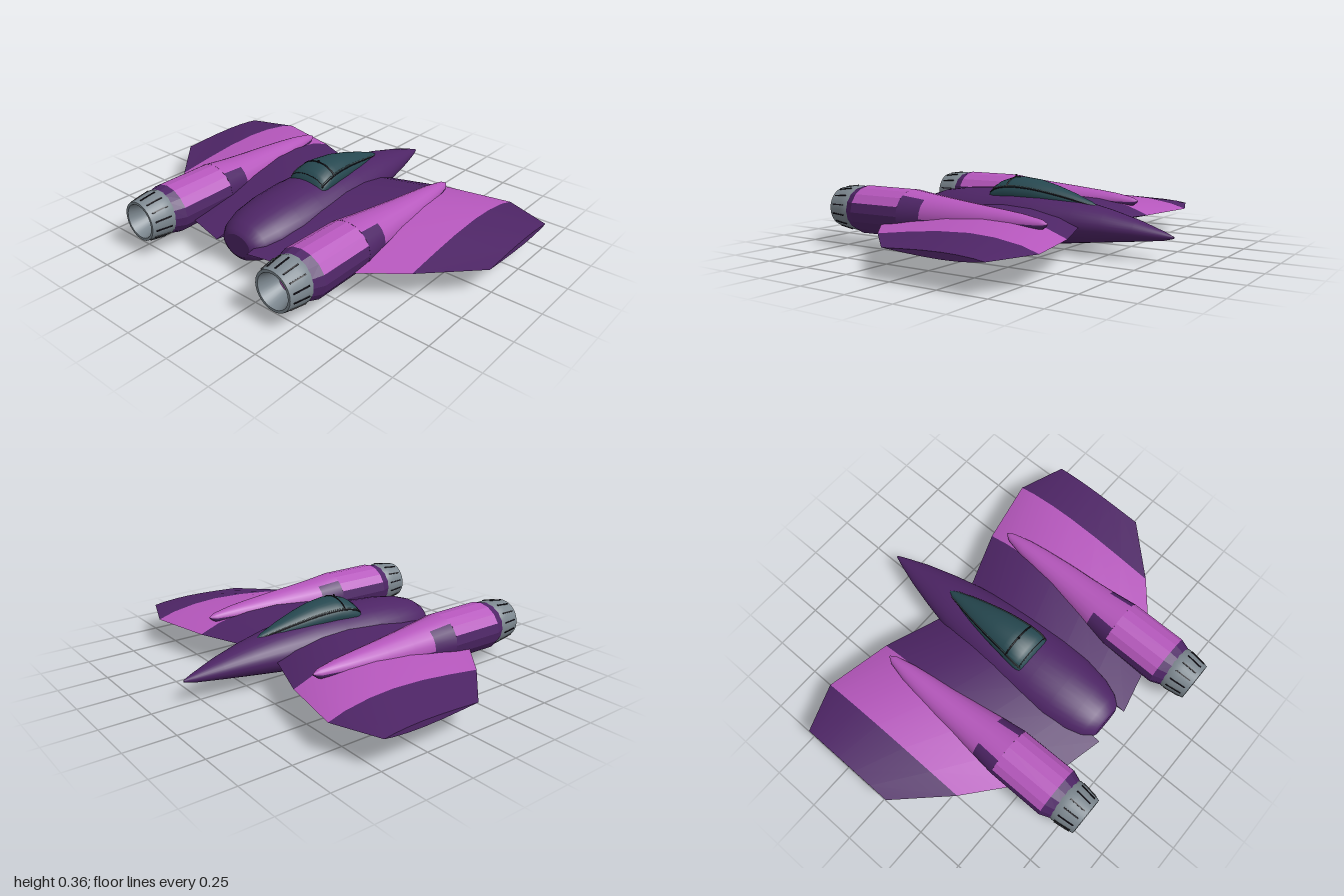
import * as THREE from 'three';
import { toCreasedNormals } from 'three/addons/utils/BufferGeometryUtils.js';

const paint = (name, color) => Object.assign(new THREE.MeshStandardMaterial({ color }), { name });

// Skin a list of point loops; pick(row, i) chooses the material slot of each quad.
function loft(rows, { flip = false, crease = 0, pick = () => 0 } = {}) {
  const n = rows[0].length, pos = rows.flat(2), slots = [[], [], []];
  const tri = (slot, a, b, c) => slots[slot].push(...(flip ? [a, c, b] : [a, b, c]));
  for (let r = 0; r < rows.length - 1; r++) {
    for (let i = 0; i < n; i++) {
      const a = r * n + i, b = r * n + (i + 1) % n, s = pick(r, i);
      tri(s, a, b, a + n);
      tri(s, b, b + n, a + n);
    }
  }
  // End caps with their own corners so their edges stay sharp
  [0, rows.length - 1].forEach((r) => {
    const base = pos.length / 3, s = pick(Math.min(r, rows.length - 2), 0);
    pos.push(...rows[r].flat());
    for (let i = 1; i < n - 1; i++) {
      if (r === 0) tri(s, base, base + i + 1, base + i);
      else tri(s, base, base + i, base + i + 1);
    }
  });
  const geo = new THREE.BufferGeometry();
  geo.setAttribute('position', new THREE.Float32BufferAttribute(pos, 3));
  geo.setIndex(slots.flat());
  let start = 0;
  slots.forEach((list, s) => {
    if (list.length) geo.addGroup(start, list.length, s);
    start += list.length;
  });
  if (crease) return toCreasedNormals(geo, crease);
  geo.computeVertexNormals();
  return geo;
}

// Point on an oval section [z, centreX, halfWidth, bottom, top]
const ovalPoint = ([z, cx, w, lo, hi], a, grow = 0) => [
  cx + (w + grow) * Math.cos(a), (lo + hi) / 2 + ((hi - lo) / 2 + grow) * Math.sin(a), z];
const oval = (section, n) =>
  Array.from({ length: n }, (_, i) => ovalPoint(section, (i / n) * Math.PI * 2));

const HULL = [
  [-0.83, 0, 0.004, 0.11, 0.12], [-0.78, 0, 0.024, 0.096, 0.14], [-0.65, 0, 0.068, 0.08, 0.182],
  [-0.5, 0, 0.108, 0.062, 0.22], [-0.35, 0, 0.142, 0.044, 0.25], [-0.15, 0, 0.176, 0.018, 0.275],
  [0, 0, 0.193, 0.006, 0.284], [0.2, 0, 0.2, 0, 0.286], [0.35, 0, 0.192, 0.008, 0.276],
  [0.48, 0, 0.17, 0.022, 0.256], [0.56, 0, 0.14, 0.036, 0.23], [0.6, 0, 0.108, 0.052, 0.205],
  [0.613, 0, 0.08, 0.07, 0.185]];

const CANOPY = [
  [-0.43, 0, 0.008, 0.2, 0.235], [-0.4, 0, 0.022, 0.2, 0.252], [-0.3, 0, 0.05, 0.2, 0.288],
  [-0.2, 0, 0.073, 0.2, 0.319], [-0.1, 0, 0.092, 0.2, 0.343], [0, 0, 0.106, 0.2, 0.352],
  [0.05, 0, 0.112, 0.2, 0.347], [0.1, 0, 0.115, 0.2, 0.33], [0.13, 0, 0.11, 0.2, 0.306],
  [0.142, 0, 0.09, 0.2, 0.275]];

const POD = [
  [-0.432, 0.46, 0.004, 0.198, 0.208], [-0.4, 0.46, 0.024, 0.175, 0.224],
  [-0.3, 0.46, 0.047, 0.16, 0.241], [-0.2, 0.46, 0.062, 0.142, 0.252],
  [-0.05, 0.457, 0.082, 0.115, 0.266], [0.1, 0.45, 0.1, 0.09, 0.28],
  [0.22, 0.445, 0.117, 0.075, 0.292], [0.35, 0.442, 0.134, 0.065, 0.308]];
const POD_REAR = [
  [0.35, 0.442, 0.134, 0.065, 0.308], [0.65, 0.44, 0.136, 0.06, 0.308],
  [0.705, 0.44, 0.114, 0.075, 0.297]];

// Wing stations: x, leading z, trailing z, bottom, top
const WING = [
  [0.1, -0.39, 0.65, 0.085, 0.225], [0.42, -0.51, 0.575, 0.085, 0.22],
  [0.76, -0.58, 0.29, 0.105, 0.192], [1, -0.49, 0.04, 0.125, 0.155]];
const AIRFOIL = [[0, 0], [0.1, 0.5], [0.25, 0.88], [0.4, 1], [0.6, 0.84], [0.8, 0.46], [1, 0]];

export function createModel() {
  const purple = paint('dark purple', 0x4e2566);
  const magenta = paint('magenta', 0xb657bd);
  const steel = paint('nozzle grey', 0x7d8890);
  const glass = paint('teal glass', 0x264850);
  const dark = paint('near black', 0x17131c);
  const trim = paint('canopy trim', 0x59686a);

  const model = new THREE.Group();
  const add = (parent, name, geo, mat) => {
    const mesh = new THREE.Mesh(geo, mat);
    mesh.name = name;
    parent.add(mesh);
    return mesh;
  };
  const tube = (points, r) => new THREE.TubeGeometry(
    new THREE.CatmullRomCurve3(points.map((p) => new THREE.Vector3(...p))), 32, r, 5);

  add(model, 'fuselage', loft(HULL.map((s) => oval(s, 32))), [purple]);

  // Canopy with side rails, a cross strut and a small mast
  const canopy = new THREE.Group();
  canopy.name = 'canopy';
  model.add(canopy);
  add(canopy, 'canopyGlass', loft(CANOPY.map((s) => oval(s, 32))), [glass]);
  for (const s of [1, -1]) {
    const rail = (a, grow) => CANOPY.slice(1, 9).map((c) => {
      const [x, y, z] = ovalPoint(c, a, grow);
      return [s * x, y, z];
    });
    add(canopy, 'canopyRail', tube(rail(0.42, 0), 0.003), dark);
    add(canopy, 'canopyTrim', tube(rail(0.52, 0), 0.002), trim);
  }
  const hoop = (section, r, name) => add(canopy, name, tube(
    Array.from({ length: 13 }, (_, i) => ovalPoint(section, 0.42 + (i / 12) * (Math.PI - 0.84))), r), dark);
  hoop([0.035, 0, 0.11, 0.2, 0.349], 0.004, 'canopyStrut');
  hoop([0.122, 0, 0.112, 0.2, 0.313], 0.002, 'canopyRearFrame');
  const mast = add(canopy, 'mast', new THREE.CylinderGeometry(0.004, 0.008, 0.03, 6), dark);
  mast.position.set(0, 0.346, 0.038);

  for (const s of [1, -1]) {
    const side = s > 0 ? 'left' : 'right';
    const flip = s < 0;
    const mirror = (rows) => rows.map((row) => row.map(([x, y, z]) => [s * x, y, z]));

    // Wing with a broad magenta band across its middle panel
    const wingRows = WING.map(([x, z0, z1, lo, hi]) => {
      const mid = (lo + hi) / 2, edge = 0.14;
      const at = ([t, h], y) => [x, edge + (y - edge) * h, z0 + (z1 - z0) * t];
      return [...AIRFOIL.map((p) => at(p, Math.max(hi, mid))),
        ...AIRFOIL.slice(1, -1).reverse().map((p) => at(p, lo))];
    });
    add(model, side + 'Wing', loft(mirror(wingRows),
      { flip, crease: 0.25, pick: (r) => (r === 1 ? 1 : 0) }), [purple, magenta]);

    // Engine pod: magenta on top, purple below
    const engine = new THREE.Group();
    engine.name = side + 'Engine';
    model.add(engine);
    add(engine, 'podFront', loft(mirror(POD.map((c) => oval(c, 20))), {
      flip,
      pick: (r, i) => (r < 6 ? (i < 10 ? 1 : 0) : (i > 2 && i < 7 ? 1 : 0)),
    }), [purple, magenta]);
    add(engine, 'podRear', loft(mirror(POD_REAR.map((c) => oval(c, 16))), {
      flip, crease: 0.01, pick: (r, i) => (r === 0 && i > 0 && i < 7 ? 1 : 0),
    }), [purple, magenta]);

    // Hollow nozzle with slits and a glowing core
    const nozzle = new THREE.Group();
    nozzle.name = 'nozzle';
    nozzle.position.set(s * 0.44, 0.187, 0);
    engine.add(nozzle);
    const profile = [[0.108, 0.685], [0.116, 0.71], [0.113, 0.75], [0.1, 0.83], [0.087, 0.83], [0.058, 0.73]];
    const shell = toCreasedNormals(new THREE.LatheGeometry(
      profile.map(([r, z]) => new THREE.Vector2(r, z)), 32), 0.6).rotateX(Math.PI / 2);
    add(nozzle, 'nozzleShell', shell, steel);
    add(nozzle, 'engineCore', new THREE.CircleGeometry(0.06, 24), magenta).position.z = 0.732;
    for (let i = 0; i < 14; i++) {
      const slit = new THREE.BoxGeometry(0.006, 0.008, 0.085);
      slit.rotateX(0.14).translate(0, 0.109, 0.768).rotateZ((i / 14) * Math.PI * 2);
      add(nozzle, 'nozzleSlit', slit, dark);
    }
  }
  return model;
}
